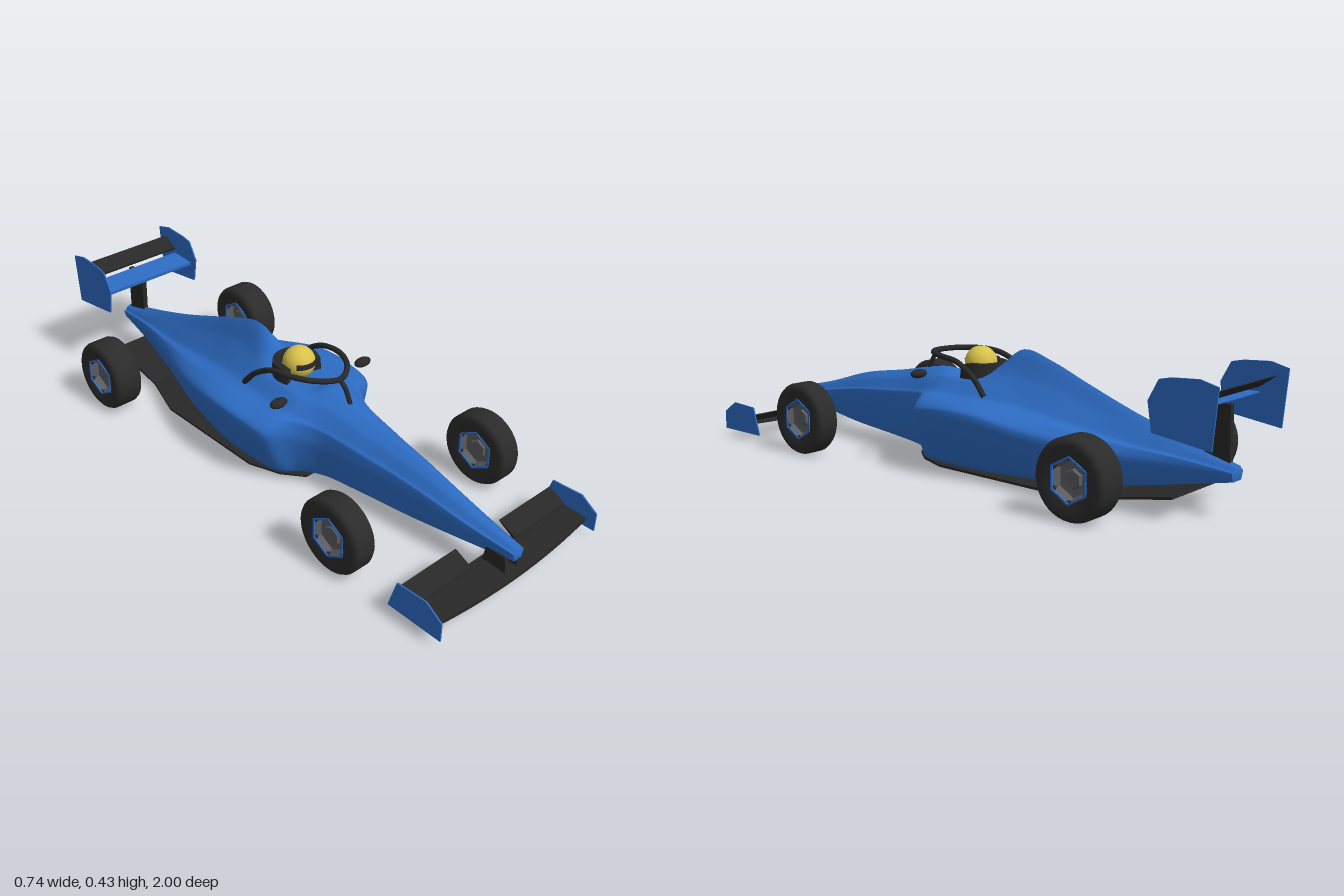
import * as THREE from 'three';
import { toCreasedNormals } from 'three/addons/utils/BufferGeometryUtils.js';

const paint = (name, color) => new THREE.MeshStandardMaterial({ name, color });

// Creases are found at a larger scale so that small parts keep their own edges
const crease = (geometry, angle) => toCreasedNormals(geometry.scale(50, 50, 50), angle).scale(0.02, 0.02, 0.02);

export function createModel() {
  const car = new THREE.Group();
  car.name = 'racingCar';
  const blue = paint('bluePaint', 0x2d6cc4);
  const carbon = paint('carbonBlack', 0x282828);
  const rubber = paint('tyreRubber', 0x2b2b2b);
  const grey = paint('rimGrey', 0x5c5c60);
  const yellow = paint('helmetYellow', 0xd8c24c);

  const add = (name, geometry, material, x = 0, y = 0, z = 0, parent = car) => {
    const mesh = new THREE.Mesh(geometry, material);
    mesh.name = name;
    mesh.position.set(x, y, z);
    parent.add(mesh);
    return mesh;
  };
  const sides = [[1, 'left'], [-1, 'right']];

  // Bodywork: z, bottom y, side y, side w, valley y, valley w, crest y, crest w, centre y
  const stations = [
    [0.975, 0.100, 0.120, 0.022, 0.130, 0.018, 0.137, 0.010, 0.140],
    [0.80, 0.078, 0.125, 0.042, 0.155, 0.034, 0.172, 0.018, 0.180],
    [0.60, 0.055, 0.140, 0.062, 0.190, 0.052, 0.220, 0.030, 0.238],
    [0.40, 0.045, 0.150, 0.088, 0.215, 0.075, 0.250, 0.045, 0.272],
    [0.24, 0.035, 0.160, 0.115, 0.235, 0.100, 0.280, 0.060, 0.303],
    [0.17, 0.030, 0.180, 0.165, 0.245, 0.125, 0.285, 0.075, 0.308],
    [0.12, 0.030, 0.200, 0.235, 0.250, 0.140, 0.292, 0.085, 0.290],
    [0.02, 0.030, 0.215, 0.252, 0.250, 0.140, 0.295, 0.085, 0.285],
    [-0.06, 0.030, 0.220, 0.255, 0.250, 0.135, 0.300, 0.080, 0.340],
    [-0.16, 0.030, 0.215, 0.245, 0.245, 0.120, 0.320, 0.050, 0.405],
    [-0.28, 0.030, 0.190, 0.215, 0.230, 0.105, 0.310, 0.040, 0.378],
    [-0.42, 0.030, 0.165, 0.170, 0.210, 0.090, 0.270, 0.036, 0.325],
    [-0.60, 0.045, 0.140, 0.100, 0.180, 0.065, 0.225, 0.030, 0.260],
    [-0.80, 0.080, 0.135, 0.052, 0.160, 0.040, 0.180, 0.025, 0.200],
    [-0.955, 0.110, 0.130, 0.030, 0.140, 0.025, 0.152, 0.015, 0.158],
  ];
  const section = ([z, yb, ys, ws, yv, wv, yt, wt, yc]) => {
    const half = [
      [ws * 0.75, yb], [ws, ys], [(ws + wv) / 2 + 0.003, ys + (yv - ys) * 0.85], [wv, yv], [wt, yt],
    ];
    const mirrored = half.map(([x, y]) => [-x, y]).reverse();
    return [[0, yb], ...half, [0, yc], ...mirrored].map(([x, y]) => new THREE.Vector3(x, y, z));
  };
  const sections = stations.map(section);
  const tracks = sections[0].map((_, k) => new THREE.CatmullRomCurve3(sections.map((s) => s[k])));
  const rings = 70, around = 60;
  const positions = [], index = [];
  for (let i = 0; i <= rings; i++) {
    const keys = tracks.map((t) => t.getPoint(i / rings));
    const loop = new THREE.CatmullRomCurve3(keys, true, 'catmullrom', 0.25);
    for (let j = 0; j < around; j++) positions.push(...loop.getPoint(j / around).toArray());
  }
  for (let i = 0; i < rings; i++) {
    for (let j = 0; j < around; j++) {
      const a = i * around + j, b = i * around + ((j + 1) % around);
      index.push(a, a + around, b, b, a + around, b + around);
    }
  }
  const last = rings * around, tip = positions.length / 3;
  positions.push(0, 0.12, 0.982, 0, 0.134, -0.962);
  for (let j = 0; j < around; j++) {
    const k = (j + 1) % around;
    index.push(tip, j, k, tip + 1, last + k, last + j);
  }
  const hull = new THREE.BufferGeometry();
  hull.setAttribute('position', new THREE.Float32BufferAttribute(positions, 3));
  hull.setIndex(index);
  add('bodywork', crease(hull, 0.8), blue);

  // Floor and rising diffuser
  const outline = (pts) => new THREE.Shape(pts.map(([x, y]) => new THREE.Vector2(x, y)));
  const floorHalf = [[0.12, 0.2], [0.175, 0.13], [0.215, 0.02], [0.215, -0.42], [0.155, -0.6]];
  const floorPts = [...floorHalf, ...floorHalf.map(([x, z]) => [-x, z]).reverse()];
  const floor = new THREE.ExtrudeGeometry(outline(floorPts), { depth: 0.008, bevelEnabled: false });
  add('floor', floor.rotateX(Math.PI / 2), carbon, 0, 0.028, 0);
  add('diffuser', new THREE.BoxGeometry(0.31, 0.008, 0.245), carbon, 0, 0.046, -0.718).rotation.x = 0.19;

  // Upright plate drawn in (z, y)
  const plate = (pts, thick) => new THREE.ExtrudeGeometry(outline(pts), { depth: thick, bevelEnabled: false })
    .translate(0, 0, -thick / 2).rotateY(-Math.PI / 2);
  // Wing element with a thin trailing edge, swept and arched toward the tips
  const blade = (width, chord, thick, sweep = 0, arch = 0) => {
    const g = new THREE.BoxGeometry(width, thick, chord, 16, 1, 4);
    const p = g.attributes.position;
    for (let i = 0; i < p.count; i++) {
      const t = (2 * p.getX(i)) / width, u = Math.max(0, p.getZ(i) / chord + 0.5);
      p.setY(i, p.getY(i) * (0.3 + 0.7 * Math.sqrt(u)) + arch * t * t);
      p.setZ(i, p.getZ(i) - sweep * t * t * u);
    }
    return crease(g, 0.6);
  };

  // Front wing
  add('frontWing', blade(0.705, 0.125, 0.013, 0.02, 0.008), carbon, 0, 0.046, 0.923).rotation.x = 0.06;
  const frontEnd = [[1, 0.025], [1, 0.09], [0.94, 0.13], [0.83, 0.125], [0.8, 0.025]];
  // Rear wing
  add('rearWing', blade(0.386, 0.1, 0.012), blue, 0, 0.329, -0.858).rotation.x = 0.1;
  add('rearFlap', blade(0.386, 0.066, 0.01), carbon, 0, 0.372, -0.932).rotation.x = 0.56;
  add('rearWingPylon', plate([[-0.85, 0.16], [-0.845, 0.33], [-0.93, 0.33], [-0.935, 0.15]], 0.018), carbon);
  const rearEnd = [[-0.775, 0.35], [-0.81, 0.415], [-0.85, 0.424], [-0.94, 0.43], [-1, 0.415],
    [-0.985, 0.235], [-0.79, 0.26]];
  for (const [s, side] of sides) {
    add(side + 'FrontFlap', blade(0.245, 0.07, 0.01), carbon, s * 0.2225, 0.083, 0.855).rotation.x = 0.48;
    add(side + 'FrontEndPlate', plate(frontEnd, 0.005), blue, s * 0.353);
    add(side + 'NosePylon', plate([[0.96, 0.045], [0.95, 0.105], [0.88, 0.105], [0.87, 0.045]], 0.006),
      carbon, s * 0.026);
    add(side + 'RearEndPlate', plate(rearEnd, 0.005), blue, s * 0.195);
  }

  // Wheels
  const lathe = (pts, segments, angle, start = 0) => crease(
    new THREE.LatheGeometry(pts.map(([r, y]) => new THREE.Vector2(r, y)), segments, start), angle);
  const makeWheel = (name, width, x, z) => {
    const wheel = new THREE.Group();
    const h = width / 2;
    wheel.name = name;
    wheel.position.set(x, 0.125, z);
    wheel.rotation.z = -Math.PI / 2;
    const wall = [[0.06, 0.84 * h], [0.08, 0.92 * h], [0.1, h], [0.112, 0.97 * h], [0.12, 0.86 * h], [0.125, 0.66 * h]];
    const tyre = [...wall.map(([r, y]) => [r, -y]), ...wall.slice().reverse(), [0.06, -0.84 * h]];
    add('tyre', lathe(tyre, 40, 0.7), rubber, 0, 0, 0, wheel);
    for (const s of [1, -1]) {
      const face = new THREE.Group();
      face.name = 'wheelFace';
      face.rotation.x = s > 0 ? 0 : Math.PI;
      wheel.add(face);
      const lip = [[0.073, 0.8 * h], [0.073, 0.94 * h], [0.066, 0.94 * h], [0.064, 0.8 * h]];
      const dish = [[0.066, 0.92 * h], [0.056, 0.4 * h], [0.032, 0.36 * h], [0.028, 0.55 * h], [0, 0.55 * h]];
      add('rimRing', lathe(lip, 6, 0.3, Math.PI / 6), blue, 0, 0, 0, face);
      add('rim', lathe(dish, 6, 0.3, Math.PI / 6), grey, 0, 0, 0, face);
    }
    car.add(wheel);
  };
  for (const [s, side] of sides) {
    makeWheel(side + 'FrontWheel', 0.085, s * 0.3275, 0.56);
    makeWheel(side + 'RearWheel', 0.107, s * 0.3165, -0.63);
  }

  // Driver helmet and visor
  add('helmet', new THREE.SphereGeometry(0.055, 32, 24), yellow, 0, 0.342, 0.03);
  add('visor', new THREE.SphereGeometry(0.0565, 24, 6, Math.PI * 0.22, Math.PI * 0.56, 1.28, 0.34),
    carbon, 0, 0.342, 0.03);

  // Headrest wrapped round the back of the helmet
  const collar = new THREE.Shape();
  collar.absarc(0, 0, 0.086, -0.45, Math.PI + 0.45, false);
  collar.absarc(0, 0, 0.06, Math.PI + 0.45, -0.45, true);
  const headrest = new THREE.ExtrudeGeometry(collar, { depth: 0.075, bevelEnabled: false, curveSegments: 24 });
  headrest.rotateX(-Math.PI / 2);
  const hp = headrest.attributes.position;
  for (let i = 0; i < hp.count; i++) {
    if (hp.getY(i) > 0.03) hp.setXYZ(i, hp.getX(i) * 0.94, hp.getY(i) - 0.25 * Math.max(0, hp.getZ(i)), hp.getZ(i) * 0.94);
  }
  add('headrest', crease(headrest, 0.6), carbon, 0, 0.272, 0.02);

  // Head protection hoop with centre strut
  const arm = [[0.128, 0.255, -0.1], [0.124, 0.31, -0.05], [0.117, 0.355, 0.03], [0.11, 0.366, 0.11], [0.07, 0.367, 0.185]];
  const hoop = [...arm, [0, 0.364, 0.225], ...arm.map(([x, y, z]) => [-x, y, z]).reverse()];
  const tube = (pts, r) => new THREE.TubeGeometry(
    new THREE.CatmullRomCurve3(pts.map((p) => new THREE.Vector3(...p))), 64, r, 10);
  add('hoop', tube(hoop, 0.0095), carbon);
  add('hoopStrut', tube([[0, 0.364, 0.222], [0, 0.34, 0.25], [0, 0.29, 0.275]], 0.008), carbon);

  // Mirrors
  for (const [s, side] of sides) {
    add(side + 'Mirror', new THREE.SphereGeometry(1, 20, 12), carbon, s * 0.187, 0.313, 0.14).scale.set(0.033, 0.015, 0.02);
  }
  return car;
}
